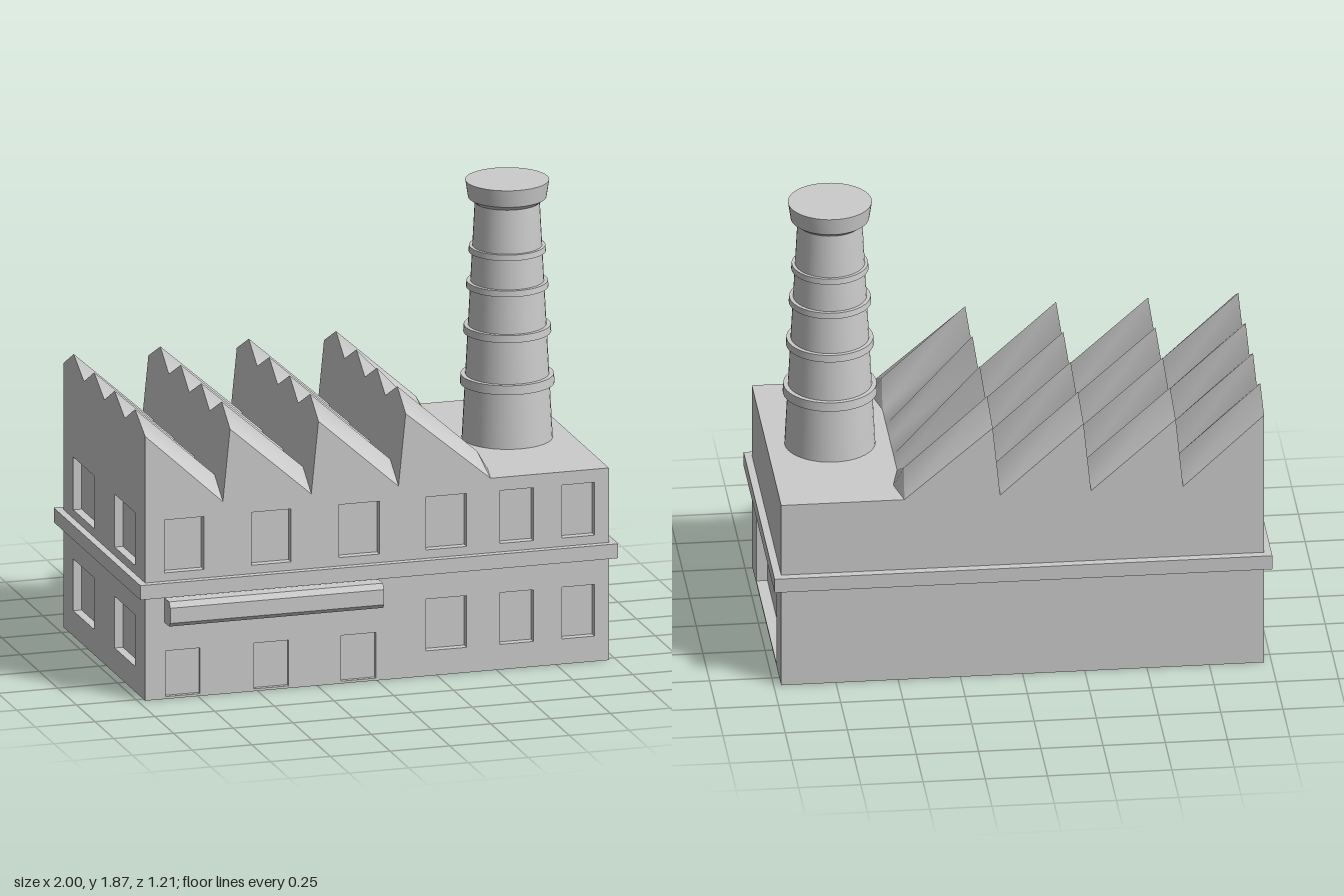
import * as THREE from 'three';
import { toCreasedNormals } from 'three/addons/utils/BufferGeometryUtils.js';

const FRONT = 0.525, BACK = -0.57, SIDE = 0.97, EAVES = 0.8, CORE_FRONT = 0.49;
const grey = new THREE.MeshStandardMaterial({ color: 0xcccccc });

function add(parent, name, geometry, x = 0, y = 0, z = 0) {
  const mesh = new THREE.Mesh(geometry, grey);
  mesh.name = name;
  mesh.position.set(x, y, z);
  parent.add(mesh);
  return mesh;
}

// box given by its limits
function block(parent, name, x0, x1, y0, y1, z0, z1) {
  return add(parent, name, new THREE.BoxGeometry(x1 - x0, y1 - y0, z1 - z0),
    (x0 + x1) / 2, (y0 + y1) / 2, (z0 + z1) / 2);
}

const rect = (T, x0, x1, y0, y1) => new T([[x0, y0], [x1, y0], [x1, y1], [x0, y1]]
  .map(([x, y]) => new THREE.Vector2(x, y)));

// wall layer pierced by rectangular openings [x0, x1, y0, y1]
function wallLayer(u0, u1, openings, depth) {
  const shape = rect(THREE.Shape, u0, u1, 0, EAVES);
  for (const o of openings) shape.holes.push(rect(THREE.Path, ...o));
  return new THREE.ExtrudeGeometry(shape, { depth, bevelEnabled: false });
}

// smooth strip between two rows of points
function strip(a, b) {
  const n = a.length, index = [];
  for (let j = 0; j < n - 1; j++) index.push(j, n + j, n + j + 1, j, n + j + 1, j + 1);
  const g = new THREE.BufferGeometry().setFromPoints([...a, ...b]);
  g.setIndex(index);
  g.computeVertexNormals();
  return g;
}

function triangle(a, b, c) {
  const g = new THREE.BufferGeometry().setFromPoints([a, b, c]);
  g.computeVertexNormals();
  return g;
}

function buildWalls() {
  const walls = new THREE.Group();
  walls.name = 'walls';
  block(walls, 'wallCore', -0.935, 0.925, 0, EAVES, BACK, CORE_FRONT);

  // front wall: windows and doors
  const UP = [0.525, 0.745], LOW = [0.105, 0.32];
  const columns = [[-0.89, -0.725], [-0.525, -0.36], [-0.16, 0.01], [0.205, 0.375], [0.515, 0.655], [0.775, 0.91]];
  const doors = [[-0.885, -0.74], [-0.515, -0.37], [-0.15, -0.005]].map(d => [...d, 0.01, 0.2]);
  const openings = [
    ...columns.map(c => [...c, ...UP]),
    ...columns.slice(3).map(c => [...c, ...LOW]),
    ...doors,
  ];
  add(walls, 'frontWall', wallLayer(-SIDE, SIDE, openings, FRONT - CORE_FRONT), 0, 0, CORE_FRONT);
  for (const d of doors) block(walls, 'door', ...d, CORE_FRONT - 0.01, 0.507);

  // side walls, drawn along -z and turned
  const loadingDoor = [[-0.36, 0.395, 0.01, 0.31]];
  const leftWindows = [];
  for (const u of [[-0.39, -0.115], [0.16, 0.44]]) for (const v of [UP, LOW]) leftWindows.push([...u, ...v]);
  const right = wallLayer(-CORE_FRONT, -BACK, loadingDoor, 0.045).rotateY(Math.PI / 2);
  const left = wallLayer(-CORE_FRONT, -BACK, leftWindows, 0.035).rotateY(Math.PI / 2);
  add(walls, 'loadingDoorWall', right, 0.925);
  add(walls, 'windowEndWall', left, -SIDE);
  return walls;
}

// sawtooth roof whose ridges zigzag across the depth
function buildRoof() {
  const roof = new THREE.Group();
  roof.name = 'sawtoothRoof';
  const feet = [-SIDE, -0.645, -0.275, 0.09, 0.475];
  const N = 8, BUMP = 0.075;
  const row = f => Array.from({ length: N + 1 }, (_, j) => {
    const [x, y] = f(j % 2 ? BUMP : 0, j);
    return new THREE.Vector3(x, y, FRONT + (BACK - FRONT) * j / N);
  });
  const outer = j => j === 1 || j === N - 1;

  for (let i = 0; i < 4; i++) {
    const lean = i ? 0.1 : 0, last = i === 3;
    const foot = row(() => [feet[i], EAVES]);
    const top = row(b => [feet[i] + lean * (0.3 + b), 1.1 + b]);
    const low = row((b, j) => last
      ? (outer(j) ? [0.462, EAVES + b] : [feet[4], EAVES])
      : [feet[i + 1] + 0.1 * b, EAVES + b]);
    add(roof, 'roofSlope', strip(top, low));
    add(roof, 'roofSteepFace', strip(foot, top));
    add(roof, 'roofFrontGable', triangle(foot[0], low[0], top[0]));
    add(roof, 'roofBackGable', triangle(foot[N], top[N], low[N]));
    if (last) {
      const hem = row((b, j) => [outer(j) ? 0.505 : feet[4], EAVES]);
      add(roof, 'roofHem', strip(low, hem));
    }
  }
  return roof;
}

function buildChimney() {
  const chimney = new THREE.Group();
  chimney.name = 'chimney';
  chimney.position.set(0.715, 0, -0.02);
  const lathe = pts => toCreasedNormals(
    new THREE.LatheGeometry(pts.map(p => new THREE.Vector2(...p)), 40), 0.6);
  add(chimney, 'stack', lathe([[0.182, EAVES], [0.13, 1.785]]));
  add(chimney, 'cap', lathe([[0, 1.78], [0.13, 1.78], [0.157, 1.8], [0.168, 1.872], [0, 1.872]]));
  // bands round the stack
  for (const [y, r, h] of [[1.047, 0.189, 0.038], [1.256, 0.176, 0.03], [1.441, 0.165, 0.025], [1.588, 0.155, 0.024]])
    add(chimney, 'stackBand', toCreasedNormals(new THREE.CylinderGeometry(r - 0.002, r, h, 40), 0.6), 0, y, 0);
  return chimney;
}

export function createModel() {
  const factory = new THREE.Group();
  factory.name = 'factory';
  factory.add(buildWalls(), buildRoof(), buildChimney());
  block(factory, 'stringCourse', -1, 1, 0.43, 0.49, -0.605, 0.555);

  // rounded canopy over the doors
  const profile = new THREE.Shape([[0.52, 0.32], [0.59, 0.32], [0.605, 0.337], [0.605, 0.4], [0.588, 0.422], [0.52, 0.422]]
    .map(([z, y]) => new THREE.Vector2(-z, y)));
  const canopy = new THREE.ExtrudeGeometry(profile, { depth: 0.895, bevelEnabled: false }).rotateY(Math.PI / 2);
  add(factory, 'canopy', canopy, -0.89);
  return factory;
}
